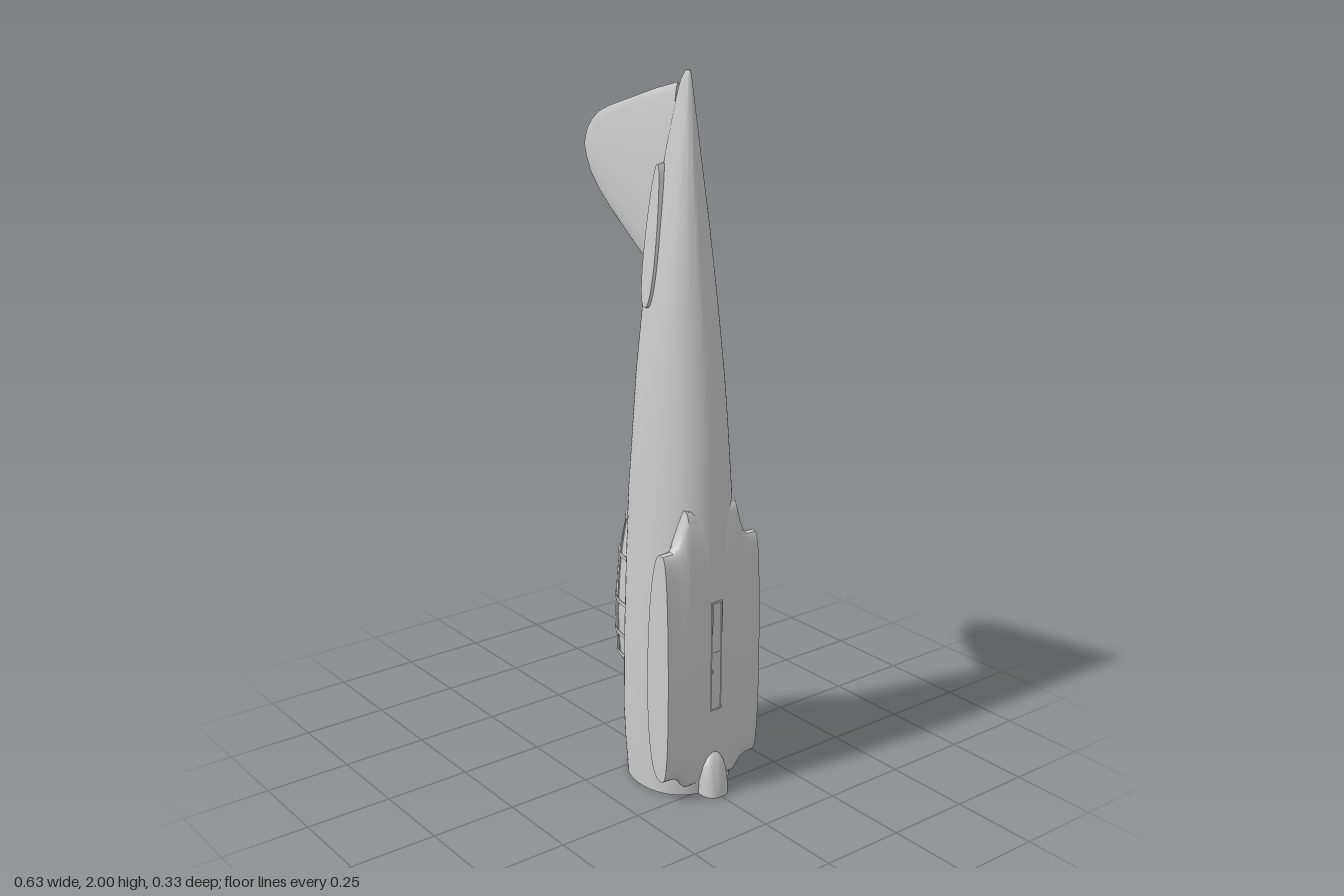
import * as THREE from 'three';
import { toCreasedNormals } from 'three/addons/utils/BufferGeometryUtils.js';

const grey = new THREE.MeshStandardMaterial({ color: 0xcccccc });
const V = (x, y, z) => new THREE.Vector3(x, y, z);
const spow = (v, p) => Math.sign(v) * Math.abs(v) ** p;

// Skin a list of closed rings, cap both ends, and make the faces point outwards
function loft(rings, crease = 0.6) {
  const pos = [], idx = [], n = rings[0].length;
  rings.forEach(r => r.forEach(p => pos.push(p.x, p.y, p.z)));
  for (let i = 0; i < rings.length - 1; i++) {
    for (let j = 0; j < n; j++) {
      const a = i * n + j, b = i * n + (j + 1) % n;
      idx.push(a, a + n, b, b, a + n, b + n);
    }
  }
  [0, rings.length - 1].forEach((k, e) => {
    const c = rings[k].reduce((s, p) => s.add(p), V(0, 0, 0)).divideScalar(n);
    const m = pos.length / 3;
    pos.push(c.x, c.y, c.z);
    for (let j = 0; j < n; j++) {
      const a = k * n + j, b = k * n + (j + 1) % n;
      if (e) idx.push(m, b, a); else idx.push(m, a, b);
    }
  });
  const at = i => V(pos[i * 3], pos[i * 3 + 1], pos[i * 3 + 2]);
  let volume = 0;
  for (let i = 0; i < idx.length; i += 3) volume += at(idx[i]).dot(at(idx[i + 1]).cross(at(idx[i + 2])));
  if (volume < 0) idx.reverse();
  const g = new THREE.BufferGeometry();
  g.setAttribute('position', new THREE.Float32BufferAttribute(pos, 3));
  g.setIndex(idx);
  return toCreasedNormals(g, crease);
}

// Horizontal superellipse ring spanning x0..x1 with half depth w
function ring(y, x0, x1, w, power = 2, n = 64) {
  return Array.from({ length: n }, (_, i) => {
    const t = i / n * Math.PI * 2, e = 2 / power;
    return V((x0 + x1) / 2 + (x1 - x0) / 2 * spow(Math.cos(t), e), y, w * spow(Math.sin(t), e));
  });
}

// Smoothly interpolate rows of [key, a, b] at many stations
function smoothRows(rows, count) {
  return new THREE.CatmullRomCurve3(rows.map(r => V(...r)), false, 'centripetal').getPoints(count);
}

export function createModel() {
  const model = new THREE.Group();
  const add = (name, geometry, parent = model) => {
    const mesh = new THREE.Mesh(geometry, grey);
    mesh.name = name;
    parent.add(mesh);
    return mesh;
  };

  // Fuselage: y, left x, right x, half depth; starts with the nose recess
  const body = [
    [0, -0.033, 0.262, 0.138], [0.1, -0.046, 0.271, 0.14], [0.2, -0.055, 0.276, 0.141],
    [0.45, -0.052, 0.28, 0.139], [0.65, -0.047, 0.279, 0.134], [0.86, -0.04, 0.272, 0.126],
    [1.05, -0.028, 0.26, 0.117], [1.2, -0.017, 0.246, 0.108], [1.4, 0.004, 0.223, 0.09],
    [1.6, 0.034, 0.2, 0.066], [1.8, 0.07, 0.176, 0.037], [1.93, 0.1, 0.16, 0.017],
    [1.975, 0.115, 0.154, 0.011], [2, 0.133, 0.149, 0.005],
  ];
  const recess = [0.1, 0].map(y => ring(y, 0.05, 0.186, 0.068));
  add('fuselage', loft([...recess, ...body.map(([y, a, b, w]) => ring(y, a, b, w, y < 1 ? 2.2 : 2.1))]));

  // Canopy: half depth w and crown x at each height
  const canopyRows = smoothRows([
    [0.32, -0.14, 0.08], [0.4, -0.147, 0.085], [0.5, -0.143, 0.086], [0.64, -0.122, 0.082],
    [0.78, -0.078, 0.068], [0.87, -0.036, 0.045]], 24);
  const hoop = (p, grow = 0) => ring(p.x, p.y - grow, -p.y + grow, p.z + grow, 2, 48)
    .map(v => V(Math.min(v.x, 0.03), v.y, v.z));
  const canopy = new THREE.Group();
  canopy.name = 'canopy';
  model.add(canopy);
  add('canopyGlass', loft(canopyRows.map(p => hoop(p))), canopy);

  // Windscreen: five flat panes narrowing towards the nose
  const panes = (y, crown, w, back) => [[back, -w], [crown * 0.62, -w * 0.8], [crown, -w * 0.3],
    [crown, w * 0.3], [crown * 0.62, w * 0.8], [back, w]].map(([x, z]) => V(x, y, z));
  add('windscreen', loft([panes(0.2, -0.052, 0.02, 0.02), panes(0.322, -0.139, 0.082, 0.02)], 0.1), canopy);

  // Canopy frames: hoops across and rails along
  [0, 4, 9, 14, 18].forEach(i => {
    const p = canopyRows[i], q = V(p.x + 0.01, p.y, p.z);
    add('canopyHoop', loft([hoop(p, 0.003), hoop(q, 0.003)]), canopy);
  });
  for (const angle of [-1.05, -0.45, 0.45, 1.05]) {
    const path = canopyRows.slice(0, 19).map(p => V(p.y * Math.cos(angle), p.x, p.z * Math.sin(angle)));
    add('canopyRail', new THREE.TubeGeometry(new THREE.CatmullRomCurve3(path), 24, 0.003, 5), canopy);
  }

  // Tail fin: x, leading edge y, trailing edge y, half thickness
  const fin = [
    [0.1, 1.385, 1.967, 0.027], [0.01, 1.45, 1.945, 0.024], [-0.1, 1.53, 1.912, 0.019],
    [-0.2, 1.605, 1.882, 0.014], [-0.25, 1.648, 1.862, 0.011], [-0.285, 1.688, 1.835, 0.009],
    [-0.305, 1.725, 1.81, 0.006], [-0.315, 1.757, 1.782, 0.003],
  ];
  add('tailFin', loft(fin.map(([x, lo, hi, t]) => Array.from({ length: 32 }, (_, i) => {
    const a = i / 32 * Math.PI * 2, s = (1 - Math.cos(a)) / 2;
    return V(x, lo + (hi - lo) * s, t * Math.sin(a) * (1.2 - 0.6 * s));
  })), 0.8));

  // Wing root: airfoil sections across the belly, swelling into a fillet near the body
  const airfoil = (z, lo, hi, xl, xr) => Array.from({ length: 56 }, (_, i) => {
    const a = i / 56 * Math.PI * 2, s = Math.sin(a), c = Math.cos(a);
    const y = (lo + hi) / 2 + (hi - lo) / 2 * (s - 0.16 * c * c);
    const mid = xl + (xr - xl) * 0.6;
    return V(mid + (c > 0 ? (xr - mid) * Math.sqrt(c) : (xl - mid) * Math.abs(c) ** 0.9), y, z);
  });
  const half = [[0.163, 0.07, 0.745, 0.18, 0.274], [0.13, 0.07, 0.747, 0.18, 0.277],
    [0.113, 0.063, 0.765, 0.176, 0.279], [0.1, 0.05, 0.8, 0.17, 0.281], [0.085, 0.03, 0.855, 0.165, 0.282]];
  const span = [...half, ...half.map(([z, ...r]) => [-z, ...r]).reverse()];
  add('wingRoot', loft(span.map(r => airfoil(...r)), 0.7));

  // Tailplane roots: slim pads with a slanted outer face
  for (const side of [-1, 1]) {
    const pad = (z0, slope, grow) => Array.from({ length: 40 }, (_, i) => {
      const a = i / 40 * Math.PI * 2, y = 1.572 + (0.187 + grow) * Math.sin(a);
      const w = (0.024 + grow) * (1 - 0.25 * Math.sin(a));
      return V(0.086 + w * spow(Math.cos(a), 0.8), y, side * (z0 - (y - 1.39) * slope));
    });
    add(side > 0 ? 'frontTailplaneRoot' : 'backTailplaneRoot',
      loft([pad(0.03, 0.05, 0.004), pad(0.085, 0.115, 0.004), pad(0.099, 0.115, 0)], 0.5));
  }

  // Chin intake under the nose
  add('chinIntake', loft([[0, 0.312, 0.041], [0.03, 0.31, 0.041], [0.06, 0.304, 0.041], [0.09, 0.295, 0.037],
    [0.11, 0.286, 0.029], [0.124, 0.277, 0.017], [0.13, 0.268, 0.004]]
    .map(([y, x, w]) => ring(y, 0.22, x, w, 2.6, 32))));

  // Belly slot: thin frame and a cover over its lower part
  const rect = (P, w, lo, hi) => new P([[-w, lo], [w, lo], [w, hi], [-w, hi]].map(p => new THREE.Vector2(...p)));
  const frame = rect(THREE.Shape, 0.019, 0.26, 0.585);
  frame.holes.push(rect(THREE.Path, 0.015, 0.265, 0.58));
  const slot = add('bellySlotFrame', new THREE.ExtrudeGeometry(frame, { depth: 0.006, bevelEnabled: false }));
  slot.rotation.y = Math.PI / 2;
  slot.position.x = 0.278;
  const cover = add('bellySlotCover', new THREE.BoxGeometry(0.006, 0.17, 0.028));
  cover.position.set(0.28, 0.35, 0);

  return model;
}
